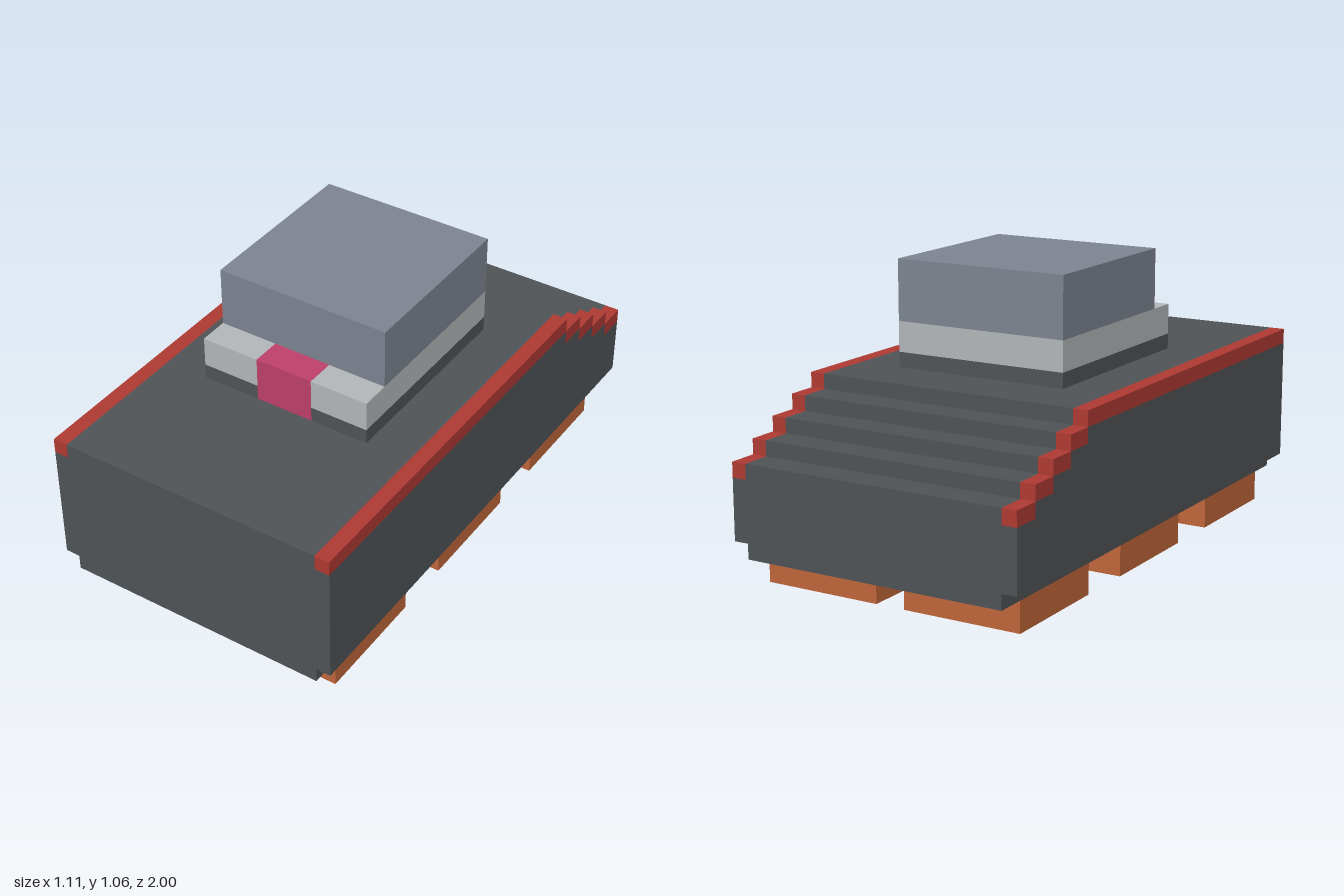
import * as THREE from 'three';

const U = 1 / 18; // one block unit

const mat = (name, color) => {
  const m = new THREE.MeshStandardMaterial({ color });
  m.name = name;
  return m;
};

export function createModel() {
  const hull = mat('darkGrey', 0x505457);
  const trim = mat('red', 0xb03a33);
  const foot = mat('orange', 0xc1663a);
  const slate = mat('slateBlue', 0x7e8592);
  const pale = mat('paleGrey', 0xb4b8ba);
  const pink = mat('pink', 0xc0406c);

  const model = new THREE.Group();
  model.name = 'blockCreature';

  // Box given by its limits in block units
  const block = (name, material, x0, x1, y0, y1, z0, z1) => {
    const geo = new THREE.BoxGeometry((x1 - x0) * U, (y1 - y0) * U, (z1 - z0) * U);
    const mesh = new THREE.Mesh(geo, material);
    mesh.name = name;
    mesh.position.set((x0 + x1) / 2 * U, (y0 + y1) / 2 * U, (z0 + z1) / 2 * U);
    model.add(mesh);
  };

  // Stepped side profile extruded across x
  const steppedSlab = (name, x0, x1, bottom, drop) => {
    const shape = new THREE.Shape();
    shape.moveTo(-18 * U, bottom * U); // shape x = -z
    shape.lineTo(18 * U, bottom * U);
    for (let i = 4; i >= 0; i--) {
      shape.lineTo((10 + 2 * i) * U, (12 - i - drop) * U);
      if (i > 0) shape.lineTo((8 + 2 * i) * U, (12 - i - drop) * U);
    }
    shape.lineTo(-18 * U, (12 - drop) * U);
    shape.closePath();
    const geo = new THREE.ExtrudeGeometry(shape, { depth: (x1 - x0) * U, bevelEnabled: false });
    geo.rotateY(Math.PI / 2);
    const mesh = new THREE.Mesh(geo, hull);
    mesh.name = name;
    mesh.position.x = x0 * U;
    model.add(mesh);
  };

  // Body core with a stepped back, and side panels capped by red trim
  steppedSlab('bodyCore', -9, 9, 2, 0);
  for (const [side, x0] of [['left', 9], ['right', -10]]) {
    steppedSlab(side + 'SidePanel', x0, x0 + 1, 3, 1);
    block(side + 'Trim', trim, x0, x0 + 1, 11, 12, -10, 18);
    for (let i = 1; i <= 4; i++) {
      block(side + 'StepTrim' + i, trim, x0, x0 + 1, 11 - i, 12 - i, -10 - 2 * i, -8 - 2 * i);
    }
    // Three feet on each side
    const footX = x0 > 0 ? 1 : -9;
    ['front', 'middle', 'back'].forEach((row, i) => {
      block(row + side + 'Foot', foot, footX, footX + 8, 0, 2, 8 - 12 * i, 16 - 12 * i);
    });
    // Collar beside the pink centre block
    const collarX = x0 > 0 ? 2 : -6;
    block(side + 'FrontCollarBase', hull, collarX, collarX + 4, 12, 13, 6, 8);
    block(side + 'FrontCollar', pale, collarX, collarX + 4, 13, 15, 6, 8);
  }

  // Upper block on its two-tone collar
  block('collarBase', hull, -6, 6, 12, 13, -6, 6);
  block('collar', pale, -6, 6, 13, 15, -6, 6);
  block('centreBlock', pink, -2, 2, 12, 15, 6, 8);
  block('topBlock', slate, -6, 6, 15, 19, -6, 6);

  return model;
}
